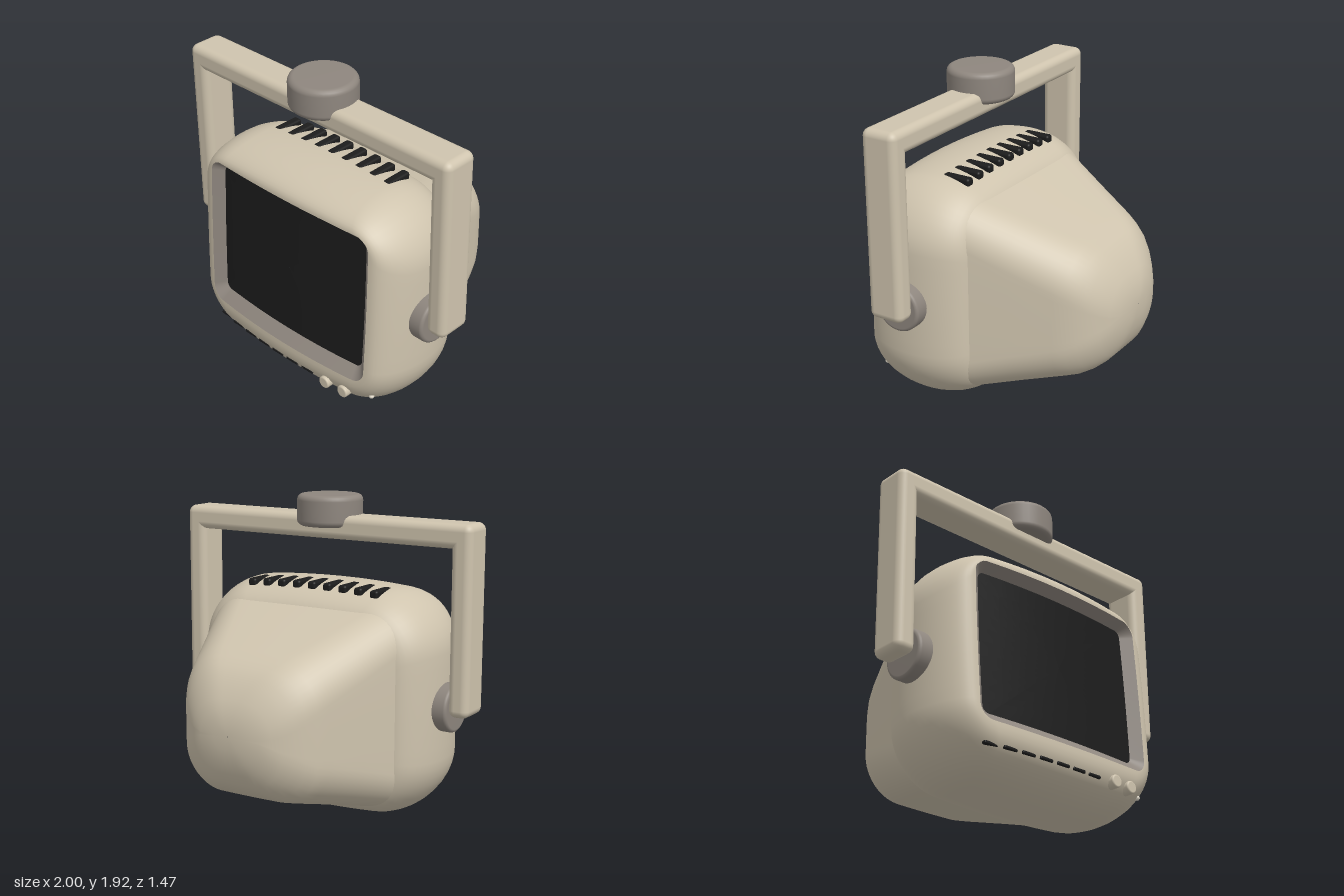
import * as THREE from 'three';
import { RoundedBoxGeometry } from 'three/addons/geometries/RoundedBoxGeometry.js';

const mat = (name, color) => Object.assign(new THREE.MeshStandardMaterial({ color }), { name });
const lerp = THREE.MathUtils.lerp;

// Rounded, slightly bulging rectangle. s: hw, t, b (bounds), r (corner), bx, by (bulge)
function ring(s, zAt) {
  const hw = s.hw - s.bx, hh = (s.t - s.b) / 2 - s.by, cy = (s.t + s.b) / 2;
  const r = Math.min(s.r, hw * 0.95, hh * 0.95), pts = [];
  const C = 10, E = 8;
  const signs = [[1, 1], [-1, 1], [-1, -1], [1, -1]];
  signs.forEach(([sx, sy], q) => {
    const corner = (k, g, a) => [k * (hw - r) + r * Math.cos(a), g * (hh - r) + r * Math.sin(a)];
    for (let i = 0; i <= C; i++) pts.push(corner(sx, sy, (q + i / C) * Math.PI / 2));
    const [nx, ny] = signs[(q + 1) % 4], a = (q + 1) * Math.PI / 2;
    const p = corner(sx, sy, a), n = corner(nx, ny, a);
    for (let i = 1; i < E; i++) pts.push([lerp(p[0], n[0], i / E), lerp(p[1], n[1], i / E)]);
  });
  return pts.map(([x, y]) => {
    const u = x / hw, v = y / hh;
    const X = x + s.bx * u * (1 - v * v), Y = cy + y + s.by * v * (1 - u * u);
    return [X, Y, zAt(X, Y)];
  });
}

// Skin a series of rings
function loft(rings) {
  const n = rings[0].length, idx = [];
  for (let i = 0; i < rings.length - 1; i++) {
    for (let j = 0; j < n; j++) {
      const k = (j + 1) % n, a = i * n + j, b = i * n + k, c = b + n, d = a + n;
      idx.push(a, b, c, a, c, d);
    }
  }
  const g = new THREE.BufferGeometry();
  g.setAttribute('position', new THREE.Float32BufferAttribute(rings.flat(2), 3));
  g.setIndex(idx);
  g.computeVertexNormals();
  return g;
}

const mix = (a, b, k) => Object.fromEntries(Object.keys(a).map(key => [key, lerp(a[key], b[key], k)]));

// Disc with rounded rims, standing on y from -h/2 to h/2
function disc(r, h, bevel) {
  const p = [new THREE.Vector2(0, -h / 2)];
  for (const s of [-1, 1]) {
    for (let i = 0; i <= 5; i++) {
      const a = (s < 0 ? i / 5 - 1 : i / 5) * Math.PI / 2;
      p.push(new THREE.Vector2(r - bevel + bevel * Math.cos(a), s * (h / 2 - bevel) + bevel * Math.sin(a)));
    }
  }
  p.push(new THREE.Vector2(0, h / 2));
  return new THREE.LatheGeometry(p, 40);
}

export function createModel() {
  const group = new THREE.Group();
  const beige = mat('beigePlastic', 0xcfc4ae);
  const grey = mat('greyPlastic', 0x8e867e);
  const black = mat('blackGlass', 0x1c1c1c);
  const pale = mat('paleLamp', 0xe6dfcf);
  const add = (name, geo, material, x = 0, y = 0, z = 0) => {
    const m = new THREE.Mesh(geo, material);
    m.name = name;
    m.position.set(x, y, z);
    group.add(m);
    return m;
  };

  // Housing: widest in the middle, rounded to the back and to the front opening
  const front = (x, y) => 0.685 + 0.035 * (1 - (x / 0.63) ** 2) - 0.05 * (y - 0.59);
  const outer = { hw: 0.808, t: 1.41, b: 0, r: 0.33, bx: 0.018, by: 0.055 };
  const back = { hw: 0.61, t: 1.21, b: 0.17, r: 0.22, bx: 0.01, by: 0.02 };
  const rim = { hw: 0.65, t: 1.285, b: 0.26, r: 0.12, bx: 0.008, by: 0.02 };
  const lip = { hw: 0.632, t: 1.272, b: 0.29, r: 0.08, bx: 0.006, by: 0.01 };
  const inner = { hw: 0.572, t: 1.222, b: 0.355, r: 0.04, bx: 0.006, by: 0.004 };
  const N = 12, shell = [];
  for (let i = N; i >= 0; i--) {
    const a = i / N * Math.PI / 2;
    shell.push(ring(mix(outer, back, 1 - Math.cos(a)), () => 0.35 - 0.35 * Math.sin(a)));
  }
  for (let i = 1; i <= N; i++) {
    const a = i / N * Math.PI / 2;
    shell.push(ring(mix(outer, rim, 1 - Math.cos(a)), (x, y) => lerp(0.35, front(x, y), Math.sin(a))));
  }
  shell.push(ring(lip, front));
  const housing = add('housing', loft(shell), beige);

  // Sloped screen surround and screen
  const sunk = (x, y) => front(x, y) - 0.06;
  add('screenSurround', loft([ring(lip, front), ring(inner, sunk)]), grey);
  const middle = { hw: 0.002, t: 0.79, b: 0.786, r: 0.001, bx: 0, by: 0 };
  add('screen', loft([0, 0.25, 0.5, 0.75, 1].map(k => ring(mix(inner, middle, k), sunk))), black);

  // Tapering rear cover: z, half width, top, bottom, corner radius
  const cover = [
    [-0.735, 0.002, 0.652, 0.648, 0.001], [-0.735, 0.1, 0.72, 0.57, 0.07],
    [-0.72, 0.2, 0.79, 0.49, 0.14], [-0.695, 0.265, 0.85, 0.42, 0.18],
    [-0.66, 0.32, 0.91, 0.355, 0.21], [-0.62, 0.37, 0.965, 0.31, 0.23],
    [-0.57, 0.415, 1.015, 0.27, 0.24], [-0.51, 0.453, 1.05, 0.24, 0.24],
    [-0.44, 0.485, 1.085, 0.222, 0.24], [-0.2, 0.575, 1.185, 0.165, 0.23],
    [0, 0.65, 1.27, 0.115, 0.22], [0.06, 0.672, 1.295, 0.1, 0.22],
  ].map(([z, hw, t, b, r]) => ring({ hw, t, b, r, bx: hw * 0.01, by: hw * 0.02 }, () => z));
  add('rearCover', loft(cover), beige);

  // Carrying handle with pivots and top knob
  for (const s of [-1, 1]) {
    add('handleArm', new RoundedBoxGeometry(0.13, 1.13, 0.225, 4, 0.045), beige, s * 0.935, 1.235, 0.345);
    add('handlePivot', disc(0.147, 0.12, 0.02), grey, s * 0.82, 0.705, 0.35).rotation.z = Math.PI / 2;
  }
  add('handleBar', new RoundedBoxGeometry(2, 0.145, 0.225, 4, 0.045), beige, 0, 1.73, 0.345);
  add('handleKnob', disc(0.2, 0.19, 0.035), grey, 0, 1.825, 0.345);

  // Find the housing surface, for seating the small parts
  const ray = new THREE.Raycaster();
  housing.material.side = THREE.FrontSide;
  housing.updateMatrixWorld(true);
  const hit = (from, dir) => {
    ray.set(new THREE.Vector3(...from), new THREE.Vector3(...dir));
    return ray.intersectObject(housing)[0].point;
  };

  // Cooling slots on top, sinking into the housing towards the middle
  for (let i = -4; i <= 4; i++) {
    const x = i * 0.1075, y = hit([x, 3, 0.28], [0, -1, 0]).y;
    add('coolingSlot', new RoundedBoxGeometry(0.055, 0.05, 0.18, 2, 0.015), black, x, y - 0.02, 0.22);
  }

  // Front strip: speaker slots, two buttons and a lamp
  const y = 0.175;
  const frontZ = x => hit([x, y, 3], [0, 0, -1]).z;
  for (let i = 0; i < 7; i++) {
    const x = -0.54 + i * 0.122;
    add('speakerSlot', new RoundedBoxGeometry(0.095, 0.02, 0.03, 2, 0.008), black, x, y, frontZ(x) - 0.008);
  }
  for (const x of [0.35, 0.483]) {
    add('button', disc(0.038, 0.07, 0.01), beige, x, y + 0.003, frontZ(x)).rotation.x = Math.PI / 2;
  }
  add('lamp', new THREE.SphereGeometry(0.016, 16, 12), pale, 0.63, y, frontZ(0.63));

  return group;
}
